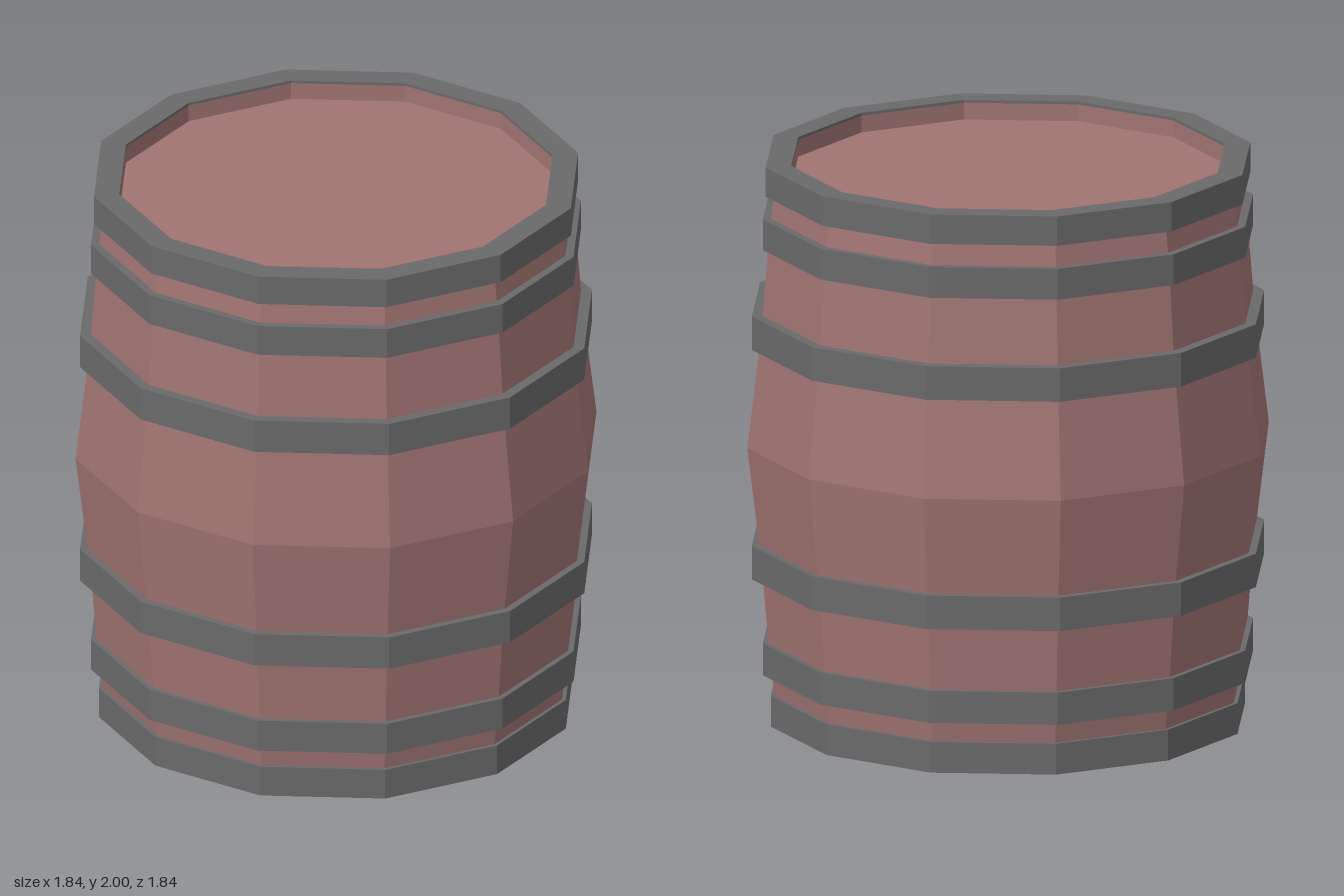
import * as THREE from 'three';

const SIDES = 12;
const wood = new THREE.MeshStandardMaterial({ color: 0xa07472, flatShading: true });
const iron = new THREE.MeshStandardMaterial({ color: 0x6a6a6a, flatShading: true });

// Twelve-sided solid turned from [radius, height] points, listed bottom to top on the outside
function turned(name, points, material) {
  const profile = points.map(([r, y]) => new THREE.Vector2(r, y));
  const mesh = new THREE.Mesh(new THREE.LatheGeometry(profile, SIDES), material);
  mesh.name = name;
  return mesh;
}

export function createModel() {
  const barrel = new THREE.Group();
  barrel.name = 'barrel';

  // Bulging staves with a recessed head at each end
  barrel.add(turned('staves', [
    [0.75, 0.07], [0.75, 0.01], [0.81, 0.01], [0.84, 0.24], [0.87, 0.59],
    [0.92, 1],
    [0.87, 1.41], [0.842, 1.76], [0.815, 1.99], [0.765, 1.99], [0.765, 1.93],
  ], wood));
  barrel.add(turned('bottomHead', [[0, 0.07], [0.75, 0.07]], wood));
  barrel.add(turned('topHead', [[0.765, 1.93], [0, 1.93]], wood));

  // Hoops around the staves: bottom, top, inner radius, outer radius
  const hoops = [
    ['lowerHoop', 0.185, 0.3, 0.81, 0.865],
    ['lowerBellyHoop', 0.53, 0.65, 0.84, 0.904],
    ['upperBellyHoop', 1.35, 1.47, 0.84, 0.904],
    ['upperHoop', 1.705, 1.815, 0.81, 0.865],
  ];
  for (const [name, y0, y1, inner, outer] of hoops) {
    barrel.add(turned(name, [[inner, y0], [outer, y0], [outer, y1], [inner, y1]], iron));
  }

  // End hoops fold over the stave ends
  barrel.add(turned('bottomRimHoop',
    [[0.75, 0.01], [0.75, 0], [0.837, 0], [0.837, 0.11], [0.79, 0.11]], iron));
  barrel.add(turned('topRimHoop',
    [[0.79, 1.895], [0.855, 1.895], [0.855, 2], [0.765, 2], [0.765, 1.99]], iron));

  return barrel;
}
